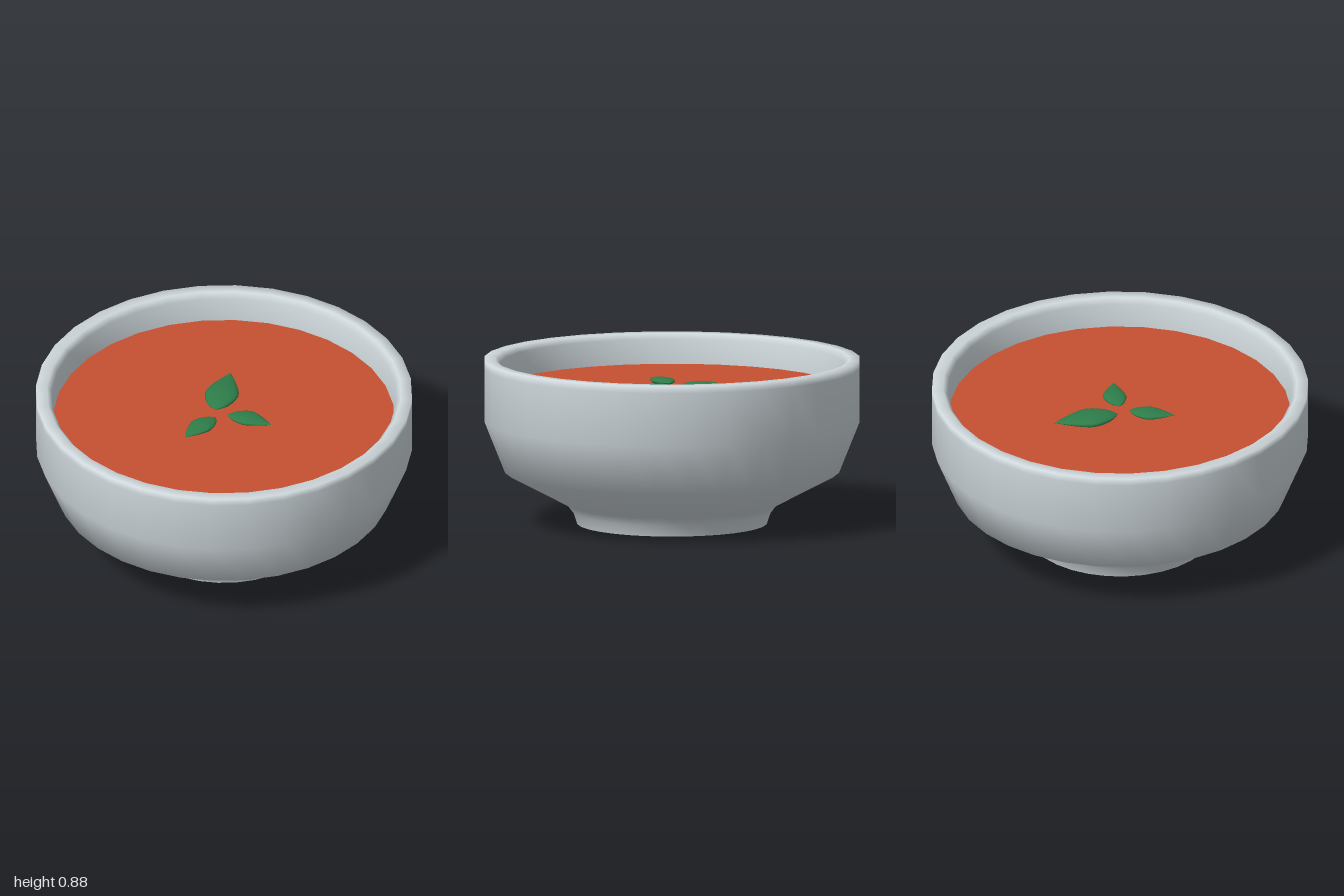
import * as THREE from 'three';

const ceramic = new THREE.MeshStandardMaterial({ name: 'paleGreyCeramic', color: 0xcfd8dc });
const soupRed = new THREE.MeshStandardMaterial({ name: 'tomatoRed', color: 0xc64f30 });
const leafGreen = new THREE.MeshStandardMaterial({ name: 'leafGreen', color: 0x2e7d4a });

const SIDES = 32;
const SOUP_LEVEL = 0.72;
const points = (list) => list.map(([x, y]) => new THREE.Vector2(x, y));

function addMesh(parent, name, geometry, material) {
  const mesh = new THREE.Mesh(geometry, material);
  mesh.name = name;
  parent.add(mesh);
  return mesh;
}

// A leaf running along +z from its base: a pointed, flattened, slightly bent lens
function leafGeometry(length, width, bend) {
  const outline = new THREE.SplineCurve(points([
    [0, 0], [0.55, 0.12], [0.93, 0.32], [0.97, 0.5], [0.55, 0.76], [0.22, 0.9], [0, 1],
  ])).getPoints(14);
  outline.forEach((p) => p.set(Math.max(0, p.x) * width / 2, p.y * length));
  const geometry = new THREE.LatheGeometry(outline, 16);
  geometry.rotateX(Math.PI / 2);
  geometry.scale(1, 0.3, 1);
  const pos = geometry.attributes.position;
  for (let i = 0; i < pos.count; i++) {
    pos.setX(i, pos.getX(i) + bend * Math.sin(Math.PI * pos.getZ(i) / length));
  }
  return geometry;
}

export function createModel() {
  const model = new THREE.Group();
  model.name = 'soupBowl';

  // Bowl wall: foot, faceted belly, upright side, rim and inside
  const wall = points([
    [0.505, 0], [0.525, 0.06], [0.56, 0.105], [0.89, 0.28], [1, 0.555],
    [1, 0.84], [1, 0.88], [0.94, 0.88], [0.915, 0.85], [0.906, SOUP_LEVEL],
    [0.9, 0.57], [0.8, 0.34], [0.5, 0.18], [0, 0.16],
  ]);
  addMesh(model, 'bowl', new THREE.LatheGeometry(wall, SIDES), ceramic);

  // Flat underside of the foot
  const underside = new THREE.CircleGeometry(0.505, SIDES).rotateX(Math.PI / 2);
  addMesh(model, 'footUnderside', underside, ceramic);

  // Soup surface
  const surface = new THREE.CircleGeometry(0.906, SIDES).rotateX(-Math.PI / 2);
  addMesh(model, 'soup', surface, soupRed).position.y = SOUP_LEVEL;

  // Three garnish leaves: base and tip as [x, z], then width and bend
  const garnish = new THREE.Group();
  garnish.name = 'garnish';
  model.add(garnish);
  [
    [[-0.055, -0.025], [-0.065, -0.38], 0.18, 0],
    [[0.02, 0], [0.27, 0.035], 0.125, 0.012],
    [[-0.035, 0.04], [-0.145, 0.265], 0.125, -0.006],
  ].forEach(([base, tip, width, bend], i) => {
    const dx = tip[0] - base[0], dz = tip[1] - base[1];
    const leaf = addMesh(garnish, `leaf${i + 1}`, leafGeometry(Math.hypot(dx, dz), width, bend), leafGreen);
    leaf.position.set(base[0], SOUP_LEVEL + 0.02, base[1]);
    leaf.rotation.y = Math.atan2(dx, dz);
  });

  return model;
}
